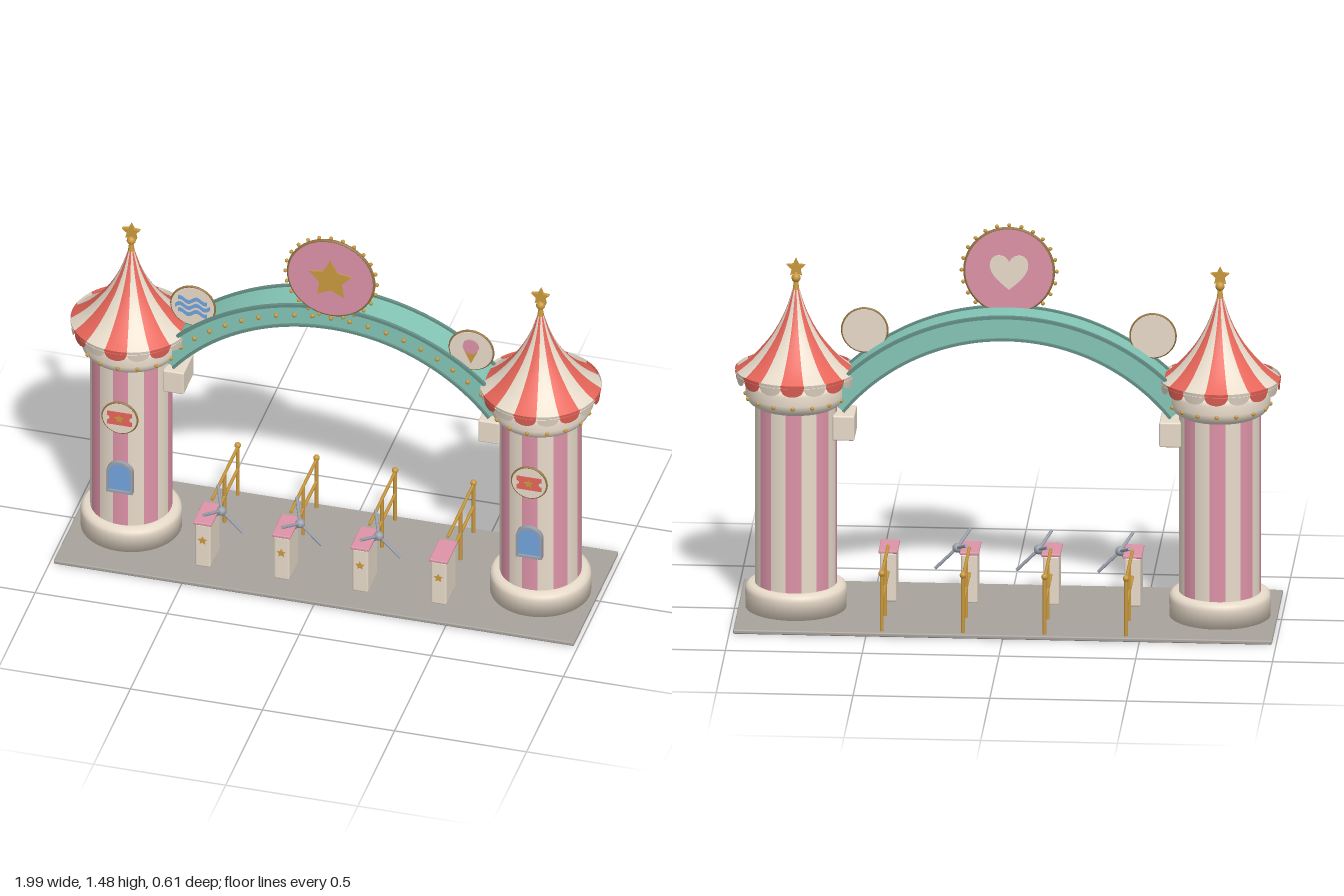
import * as THREE from 'three';
import { mergeGeometries } from 'three/addons/utils/BufferGeometryUtils.js';
import { RoundedBoxGeometry } from 'three/addons/geometries/RoundedBoxGeometry.js';

const mat = (name, color, side = THREE.FrontSide) => {
  const m = new THREE.MeshStandardMaterial({ color, side });
  m.name = name;
  return m;
};
const V2 = (x, y) => new THREE.Vector2(x, y);
const V3 = (x, y, z) => new THREE.Vector3(x, y, z);

export function createModel() {
  const cream = mat('cream', 0xe9dccb, THREE.DoubleSide);
  const red = mat('coral red', 0xe9665a, THREE.DoubleSide);
  const pink = mat('pink', 0xdd93a8);
  const gold = mat('gold', 0xc9993f);
  const teal = mat('teal', 0x84c6b6);
  const darkTeal = mat('dark teal', 0x648f86);
  const blue = mat('blue', 0x72a3dc);
  const stone = mat('paving grey', 0xa8a29c);
  const steel = mat('steel', 0x9aa0ab);
  const bronze = mat('bronze', 0x947443);

  const add = (parent, name, geo, material, x = 0, y = 0, z = 0) => {
    const m = new THREE.Mesh(geo, material);
    m.name = name;
    m.position.set(x, y, z);
    parent.add(m);
    return m;
  };
  const group = (parent, name, x = 0, y = 0, z = 0) => {
    const g = new THREE.Group();
    g.name = name;
    g.position.set(x, y, z);
    parent.add(g);
    return g;
  };
  const extrude = (shape, depth) =>
    new THREE.ExtrudeGeometry(shape, { depth, bevelEnabled: false, curveSegments: 24 });
  const star = (r, inner = 0.48) => new THREE.Shape(Array.from({ length: 10 }, (_, i) => {
    const a = Math.PI / 2 + i * Math.PI / 5, q = i % 2 ? r * inner : r;
    return V2(Math.cos(a) * q, Math.sin(a) * q);
  }));
  // round rod between two points
  const rod = (a, b, r) => {
    const d = b.clone().sub(a), g = new THREE.CylinderGeometry(r, r, d.length(), 10);
    g.applyQuaternion(new THREE.Quaternion().setFromUnitVectors(V3(0, 1, 0), d.normalize()));
    return g.translate(...a.clone().add(b).multiplyScalar(0.5).toArray());
  };
  const bulbs = (points, r) =>
    mergeGeometries(points.map(p => new THREE.SphereGeometry(r, 8, 6).translate(p.x, p.y, p.z)));
  const ring = (n, f) => Array.from({ length: n }, (_, i) => f(i * 2 * Math.PI / n));
  const disc = (r, depth) => new THREE.CylinderGeometry(r, r, depth, 40).rotateX(Math.PI / 2);

  // alternating wedges around y, one merged mesh per colour; first wedge centred on +z
  const N = 16, STEP = 2 * Math.PI / N;
  const striped = (parent, name, make, matA, matB) => [matA, matB].forEach((m, k) => {
    const parts = [];
    for (let i = k; i < N; i += 2) parts.push(make((i - 0.5) * STEP));
    add(parent, name, mergeGeometries(parts), m);
  });

  const model = new THREE.Group();
  model.name = 'parkEntrance';
  add(model, 'groundSlab', new RoundedBoxGeometry(1.97, 0.016, 0.61, 2, 0.005), stone, 0, 0.008, 0);

  // --- towers ---
  const roofCurve = new THREE.SplineCurve([V2(0.222, 0.915), V2(0.16, 0.965), V2(0.09, 1.05),
    V2(0.042, 1.14), V2(0.012, 1.23)]).getPoints(16);
  const scallop = a => {
    const g = new THREE.CylinderGeometry(0.222, 0.218, 0.02, 10, 1, true, a, STEP);
    const p = g.attributes.position, uv = g.attributes.uv;
    for (let i = 0; i < p.count; i++) {
      const t = uv.getX(i) * 2 - 1;
      if (p.getY(i) < 0) p.setY(i, -0.008 - 0.026 * Math.sqrt(Math.max(0, 1 - t * t)));
    }
    return g.translate(0, 0.917, 0);
  };
  const baseProfile = [V2(0, 0.015), V2(0.185, 0.015), V2(0.186, 0.085), V2(0.182, 0.1),
    V2(0.17, 0.109), V2(0.148, 0.11)];
  const collarProfile = [V2(0.149, 0.79), V2(0.17, 0.803), V2(0.182, 0.82), V2(0.184, 0.835),
    V2(0.184, 0.87), V2(0.178, 0.883), V2(0.16, 0.885), V2(0.16, 0.945)];

  for (const s of [-1, 1]) {
    const t = group(model, s > 0 ? 'leftTower' : 'rightTower', s * 0.775);
    add(t, 'towerBase', new THREE.LatheGeometry(baseProfile, 40), cream);
    striped(t, 'stripedShaft', a => new THREE.CylinderGeometry(0.15, 0.15, 0.72, 4, 1, true, a, STEP)
      .translate(0, 0.46, 0), pink, cream);
    add(t, 'collar', new THREE.LatheGeometry(collarProfile, 40), cream);
    add(t, 'collarBulbs', bulbs(ring(16, a => V3(Math.sin(a) * 0.184, 0.827, Math.cos(a) * 0.184)), 0.008), gold);
    striped(t, 'tentRoof', a => new THREE.LatheGeometry(roofCurve, 4, a, STEP), red, cream);
    striped(t, 'scallopedValance', scallop, red, cream);

    // finial
    add(t, 'finialSpike', new THREE.CylinderGeometry(0.008, 0.015, 0.05, 14), gold, 0, 1.235, 0);
    add(t, 'finialBall', new THREE.SphereGeometry(0.017, 16, 12), gold, 0, 1.273, 0);
    add(t, 'finialStar', extrude(star(0.036), 0.014), gold, 0, 1.312, -0.007);

    // ticket medallion
    const m = group(t, 'ticketMedallion', 0, 0.588, 0.154);
    add(m, 'medallionFace', disc(0.064, 0.012), cream);
    add(m, 'medallionRim', new THREE.TorusGeometry(0.065, 0.005, 8, 40), bronze);
    const ticket = new THREE.Shape();
    ticket.moveTo(-0.047, -0.028).lineTo(0.047, -0.028).lineTo(0.047, -0.01);
    ticket.absarc(0.047, 0, 0.01, -Math.PI / 2, Math.PI / 2, true);
    ticket.lineTo(0.047, 0.028).lineTo(-0.047, 0.028).lineTo(-0.047, 0.01);
    ticket.absarc(-0.047, 0, 0.01, Math.PI / 2, -Math.PI / 2, true);
    add(m, 'ticket', extrude(ticket, 0.004), red, 0, 0, 0.005);
    add(m, 'ticketStar', extrude(star(0.018), 0.003), gold, 0, 0, 0.008);

    // arched window
    const arched = (w, h) => {
      const q = new THREE.Shape();
      q.moveTo(-w, 0).lineTo(w, 0).lineTo(w, h).absarc(0, h, w, 0, Math.PI, false);
      return q;
    };
    const frame = arched(0.05, 0.085), hole = arched(0.041, 0.076);
    frame.holes.push(new THREE.Path(hole.getPoints(12).map(p => V2(p.x, p.y + 0.009))));
    add(t, 'windowFrame', extrude(frame, 0.03), steel, 0, 0.26, 0.136);
    add(t, 'windowPane', extrude(arched(0.042, 0.078), 0.02), blue, 0, 0.268, 0.138);

    // bracket box beneath the arch end
    add(model, 'archBracket', new RoundedBoxGeometry(0.08, 0.095, 0.14, 2, 0.006), cream, s * 0.597, 0.72, 0);
  }

  // --- arch ---
  const arch = group(model, 'arch', 0, 0.31, 0);
  const band = (r0, r1, depth, half) => {
    const q = new THREE.Shape();
    q.absarc(0, 0, r1, Math.PI / 2 - half, Math.PI / 2 + half, false);
    q.absarc(0, 0, r0, Math.PI / 2 + half, Math.PI / 2 - half, true);
    return new THREE.ExtrudeGeometry(q, { depth, bevelEnabled: false, curveSegments: 56 });
  };
  add(arch, 'archBand', band(0.764, 0.846, 0.128, 0.9), teal, 0, 0, -0.064);
  for (const z of [-0.072, 0.06]) {
    add(arch, 'outerRim', band(0.842, 0.854, 0.012, 0.9), darkTeal, 0, 0, z);
    add(arch, 'innerRim', band(0.758, 0.768, 0.012, 0.9), darkTeal, 0, 0, z);
  }
  add(arch, 'archBulbs', bulbs(Array.from({ length: 21 }, (_, i) => {
    const a = (i - 10) * 0.087;
    return V3(Math.sin(a) * 0.806, Math.cos(a) * 0.806, 0.067);
  }), 0.009), gold);

  // --- central round sign ---
  const sign = group(model, 'starSign', 0, 1.295, 0.066);
  add(sign, 'signDisc', disc(0.16, 0.014), pink);
  add(sign, 'signRim', new THREE.TorusGeometry(0.161, 0.007, 8, 56), bronze);
  add(sign, 'signBulbs', bulbs(ring(24, a => V3(Math.sin(a) * 0.174, Math.cos(a) * 0.174, 0)), 0.0075), gold);
  add(sign, 'signStar', extrude(star(0.085, 0.52), 0.006), gold, 0, -0.005, 0.006);
  const heart = new THREE.Shape();
  heart.moveTo(0, -0.07).bezierCurveTo(-0.03, -0.045, -0.075, -0.01, -0.07, 0.03);
  heart.bezierCurveTo(-0.065, 0.07, -0.015, 0.07, 0, 0.035);
  heart.bezierCurveTo(0.015, 0.07, 0.065, 0.07, 0.07, 0.03);
  heart.bezierCurveTo(0.075, -0.01, 0.03, -0.045, 0, -0.07);
  add(sign, 'backHeart', extrude(heart, 0.006), cream, 0, 0, -0.012);

  // --- small round signs: waves and ice cream ---
  const small = s => {
    const g = group(model, s > 0 ? 'iceCreamSign' : 'waveSign', s * 0.527, 1.062, 0.05);
    add(g, 'smallDisc', disc(0.081, 0.014), cream);
    add(g, 'smallRim', new THREE.TorusGeometry(0.082, 0.005, 8, 40), bronze);
    return g;
  };
  const waveSign = small(-1), iceSign = small(1);
  for (const [y, w] of [[0.027, 0.055], [0, 0.065], [-0.027, 0.055]]) {
    const edge = h => Array.from({ length: 25 }, (_, i) => {
      const x = (i / 12 - 1) * w;
      return V2(x, Math.sin(x * 100) * 0.008 + h);
    });
    add(waveSign, 'wave', extrude(new THREE.Shape([...edge(-0.008), ...edge(0.008).reverse()]), 0.004),
      blue, 0, y, 0.006);
  }
  add(iceSign, 'cone', extrude(new THREE.Shape([V2(0, -0.055), V2(0.026, 0.002), V2(-0.026, 0.002)]), 0.004),
    gold, 0, 0, 0.006);
  add(iceSign, 'scoop', disc(0.03, 0.006), pink, 0, 0.02, 0.009);

  // --- turnstiles and queue rails ---
  [-0.45, -0.152, 0.146, 0.443].forEach((x, i) => {
    const g = group(model, 'gate', x);
    add(g, 'pedestal', new RoundedBoxGeometry(0.06, 0.188, 0.13, 2, 0.008), cream, 0, 0.108, 0.133);
    add(g, 'pedestalCap', new RoundedBoxGeometry(0.07, 0.012, 0.14, 2, 0.004), pink, 0, 0.206, 0.133);
    add(g, 'pedestalStar', extrude(star(0.018), 0.005), gold, 0, 0.133, 0.197);

    const rails = [0.13, 0.228].map(y => rod(V3(0, y, 0.07), V3(0, y, -0.28), 0.006));
    const posts = [-0.28, -0.1].map(z => rod(V3(0, 0.014, z), V3(0, 0.23, z), 0.007));
    add(g, 'queueRail', mergeGeometries([...rails, ...posts]), gold);
    add(g, 'railBall', new THREE.SphereGeometry(0.012, 14, 10), gold, 0, 0.236, -0.28);

    if (i === 3) return;
    const t = group(g, 'tripod', 0.047, 0.214, 0.11);
    add(t, 'tripodHub', new THREE.SphereGeometry(0.018, 16, 12), steel);
    add(t, 'tripodAxle', rod(V3(0, 0, 0), V3(-0.04, -0.03, 0), 0.011), steel);
    const arms = ring(3, a => rod(V3(0, 0, 0),
      V3(Math.cos(a) * 0.081, -Math.cos(a) * 0.081, Math.sin(a) * 0.115), 0.006));
    add(t, 'tripodArms', mergeGeometries(arms), steel);
  });

  return model;
}
